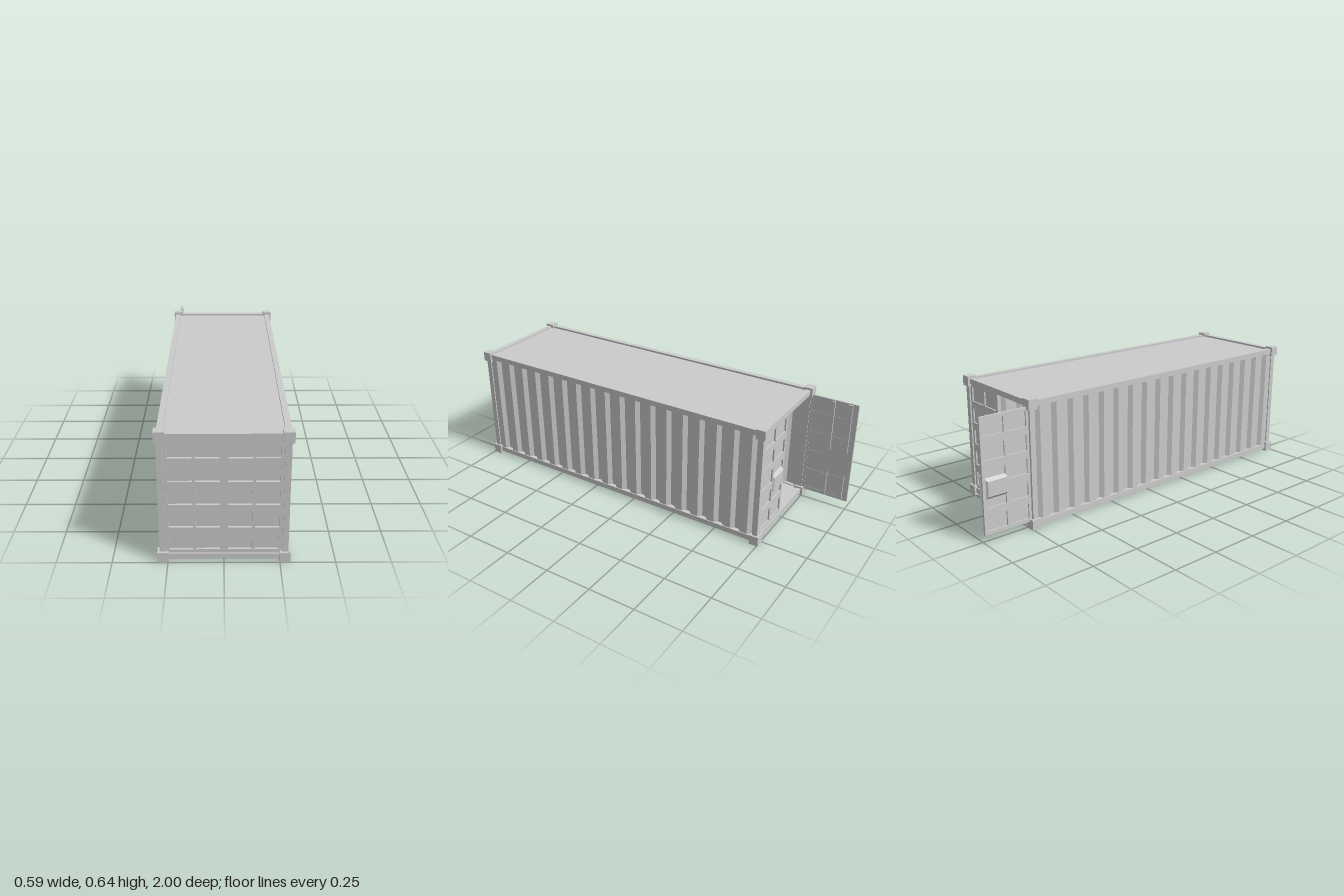
import * as THREE from 'three';

const material = new THREE.MeshStandardMaterial({ color: 0xcccccc, flatShading: true, side: THREE.DoubleSide });

// Overall frame limits
const X = 0.287, FRONT = 0.99, BACK = -0.745, BAR = 0.028;
const LOW = 0.013, HIGH = 0.634, MID_Z = (FRONT + BACK) / 2, LENGTH = FRONT - BACK;
const SHEET_LOW = 0.04, SHEET_HIGH = 0.607;

function addMesh(parent, name, geometry) {
  const mesh = new THREE.Mesh(geometry, material);
  mesh.name = name;
  parent.add(mesh);
  return mesh;
}

function addBox(parent, name, w, h, d, x, y, z) {
  const mesh = addMesh(parent, name, new THREE.BoxGeometry(w, h, d));
  mesh.position.set(x, y, z);
  return mesh;
}

function rectangle(target, x0, y0, x1, y1) {
  target.moveTo(x0, y0);
  target.lineTo(x1, y0);
  target.lineTo(x1, y1);
  target.lineTo(x0, y1);
  target.closePath();
  return target;
}

// Sheet from x0 to x1 with five rows of recesses, each split by a narrow bar
function panelSheet(x0, x1, columnCentres, thickness) {
  const shape = rectangle(new THREE.Shape(), x0, SHEET_LOW, x1, SHEET_HIGH);
  for (const c of columnCentres) {
    for (let row = 0; row < 5; row++) {
      const y = 0.059 + row * 0.1142;
      shape.holes.push(rectangle(new THREE.Path(), c - 0.1125, y, c - 0.0065, y + 0.074));
      shape.holes.push(rectangle(new THREE.Path(), c + 0.0065, y, c + 0.1125, y + 0.074));
    }
  }
  const geometry = new THREE.ExtrudeGeometry(shape, { depth: thickness, bevelEnabled: false });
  geometry.translate(0, 0, -thickness / 2);
  return geometry;
}

// Door running along +x from its hinge; out is the z direction of its outer face
function createDoor(name, out) {
  const door = new THREE.Group();
  door.name = name;
  const width = 0.257, height = SHEET_HIGH - SHEET_LOW, midY = (SHEET_HIGH + SHEET_LOW) / 2;
  addMesh(door, 'doorFrame', panelSheet(0, width, [0.1285], 0.012));
  addBox(door, 'doorPanel', width - 0.01, height - 0.01, 0.003, width / 2, midY, -out * 0.003);
  // Locking rods on the inner face
  addBox(door, 'lockingRod', 0.014, height - 0.01, 0.01, 0.129, midY, -out * 0.009);
  addBox(door, 'lockingRod', 0.024, height - 0.01, 0.01, 0.217, midY, -out * 0.009);
  // Lock box, tapering towards the outside
  const taper = new THREE.BoxGeometry(0.146, 0.134, 0.034);
  const p = taper.attributes.position;
  for (let i = 0; i < p.count; i++) {
    if (p.getZ(i) * out > 0) p.setXY(i, p.getX(i) * 0.68, p.getY(i) * 0.55);
  }
  taper.computeVertexNormals();
  addMesh(door, 'lockBox', taper).position.set(0.184, 0.266, -out * 0.002);
  return door;
}

// Corrugated sheet: a folded strip in plan, raised to full height
function corrugatedWall(side) {
  const periods = 18, start = -0.724, pitch = 1.704 / periods;
  const fold = [[0, 0.264], [0.2, 0.264], [0.4, 0.282], [0.8, 0.282]];
  const outer = [];
  for (let i = 0; i < periods; i++) {
    for (const [t, x] of fold) outer.push([x, start + (i + t) * pitch]);
  }
  outer.push([0.264, start + periods * pitch]);
  const inner = outer.map(([x, z]) => [x - 0.004, z]).reverse();
  const points = [...outer, ...inner].map(([x, z]) => new THREE.Vector2(side * x, -z));
  const geometry = new THREE.ExtrudeGeometry(new THREE.Shape(points), {
    depth: SHEET_HIGH - SHEET_LOW, bevelEnabled: false,
  });
  geometry.rotateX(-Math.PI / 2);
  geometry.translate(0, SHEET_LOW, 0);
  return geometry;
}

export function createModel() {
  const model = new THREE.Group();
  model.name = 'shippingContainer';

  // Frame rails, posts and corner blocks
  const railX = X - BAR / 2;
  for (const y of [LOW + BAR / 2, HIGH - BAR / 2]) {
    for (const s of [-1, 1]) addBox(model, 'sideRail', BAR, BAR, LENGTH, s * railX, y, MID_Z);
    for (const z of [BACK + BAR / 2, FRONT - BAR / 2]) addBox(model, 'endRail', 2 * X, BAR, BAR, 0, y, z);
  }
  for (const s of [-1, 1]) {
    for (const [postZ, blockZ] of [[BACK + BAR / 2, -0.732], [FRONT - BAR / 2, 0.976]]) {
      addBox(model, 'cornerPost', BAR, HIGH - LOW, BAR, s * railX, (LOW + HIGH) / 2, postZ);
      for (const y of [0.0255, 0.6195]) addBox(model, 'cornerBlock', 0.05, 0.051, 0.048, s * 0.272, y, blockZ);
    }
    addMesh(model, s > 0 ? 'leftWall' : 'rightWall', corrugatedWall(s));
  }

  // Roof and floor, set in below the rail faces
  addBox(model, 'roof', 2 * X - BAR, 0.01, LENGTH - BAR, 0, 0.619, MID_Z);
  addBox(model, 'floor', 2 * X - BAR, 0.012, LENGTH - BAR, 0, 0.03, MID_Z);

  // Closed front wall
  addMesh(model, 'frontWall', panelSheet(-0.26, 0.26, [-0.1305, 0.1305], 0.012)).position.z = 0.977;
  addBox(model, 'frontWallPanel', 0.52, SHEET_HIGH - SHEET_LOW, 0.003, 0, 0.3235, 0.97);

  // Back doors: one closed, one swung open
  const closed = createDoor('closedDoor', 1);
  closed.position.set(0.259, 0, -0.732);
  closed.rotation.y = Math.PI;
  model.add(closed);
  const open = createDoor('openDoor', -1);
  open.position.set(-0.269, 0, -0.743);
  open.rotation.y = Math.PI / 2;
  model.add(open);

  return model;
}
